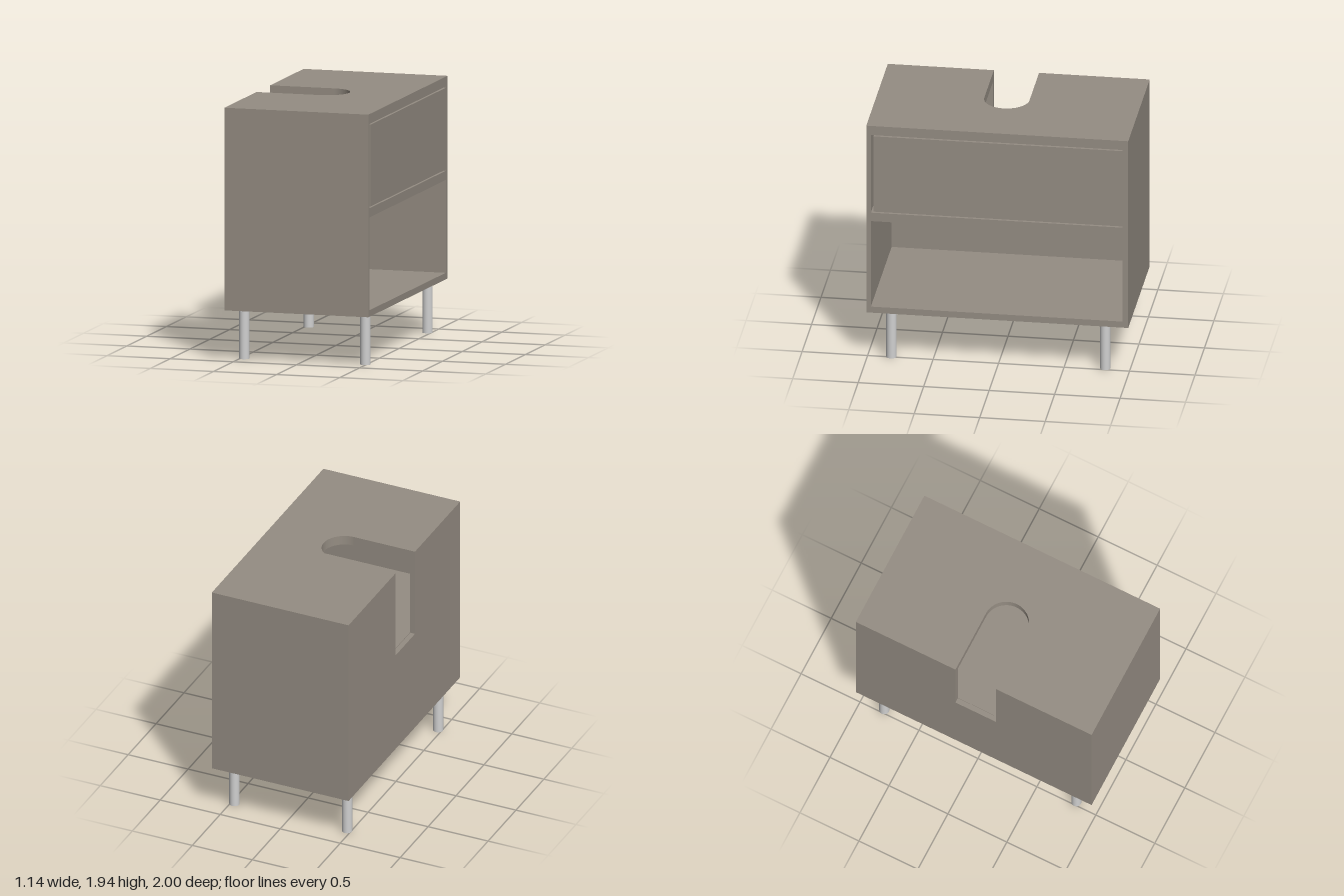
import * as THREE from 'three';

export function createModel() {
  const model = new THREE.Group();
  const wood = new THREE.MeshStandardMaterial({ color: 0x958d83 });
  wood.name = 'taupe panel';
  const metal = new THREE.MeshStandardMaterial({ color: 0xd0d0d0 });
  metal.name = 'light grey metal';

  const add = (name, geometry, material) => {
    const mesh = new THREE.Mesh(geometry, material);
    mesh.name = name;
    model.add(mesh);
    return mesh;
  };
  // Box given by its limits on each axis
  const panel = (name, [x0, x1], [y0, y1], [z0, z1]) =>
    add(name, new THREE.BoxGeometry(x1 - x0, y1 - y0, z1 - z0), wood)
      .position.set((x0 + x1) / 2, (y0 + y1) / 2, (z0 + z1) / 2);

  const X = 0.57, backInner = -0.53;
  const base = 0.39, floorTop = 0.44, shelfLow = 1.15, shelfTop = 1.22;
  const topLow = 1.865, top = 1.94;
  const wallBack = -0.955, wallFront = 0.965; // inner faces of the side walls
  const slot0 = -0.155, slot1 = 0.19;         // plumbing cutout

  // Top with a round-ended slot open towards the wall side (shape y is -z)
  const r = (slot1 - slot0) / 2, mid = -(slot0 + slot1) / 2, arcX = 0.11 - r;
  const topShape = new THREE.Shape();
  topShape.moveTo(-X, -1);
  topShape.lineTo(X, -1);
  topShape.lineTo(X, 1);
  topShape.lineTo(-X, 1);
  topShape.lineTo(-X, mid + r);
  topShape.lineTo(arcX, mid + r);
  topShape.absarc(arcX, mid, r, Math.PI / 2, -Math.PI / 2, true);
  topShape.lineTo(-X, mid - r);
  topShape.closePath();
  const topGeometry = new THREE.ExtrudeGeometry(topShape, { depth: top - topLow, bevelEnabled: false, curveSegments: 32 });
  topGeometry.rotateX(-Math.PI / 2).translate(0, topLow, 0);
  add('topPanel', topGeometry, wood);

  // Wall-side panel with the slot running down to the shelf (shape x is z)
  const backShape = new THREE.Shape([
    [-1, base], [1, base], [1, topLow], [slot1, topLow],
    [slot1, shelfTop - 0.005], [slot0, shelfTop - 0.005], [slot0, topLow], [-1, topLow],
  ].map(([x, y]) => new THREE.Vector2(x, y)));
  const backGeometry = new THREE.ExtrudeGeometry(backShape, { depth: backInner + X, bevelEnabled: false });
  backGeometry.rotateY(-Math.PI / 2).translate(backInner, 0, 0);
  add('slottedBackPanel', backGeometry, wood);

  // Carcass
  panel('sideWallFront', [backInner, X], [base, topLow], [wallFront, 1]);
  panel('sideWallBack', [backInner, X], [base, topLow], [-1, wallBack]);
  panel('bottomPanel', [backInner, X], [base, floorTop], [wallBack, wallFront]);
  panel('middleShelf', [backInner, X], [shelfLow, shelfTop], [wallBack, wallFront]);

  // Drawer front, with narrow gaps above, below and at one end
  panel('drawerFront', [0.53, X], [1.23, 1.855], [wallBack, 0.945]);

  // Legs
  for (const [x, z] of [[0.49, 0.82], [-0.47, 0.82], [0.47, -0.81], [-0.47, -0.81]]) {
    add('leg', new THREE.CylinderGeometry(0.039, 0.039, base, 32), metal).position.set(x, base / 2, z);
  }
  return model;
}
